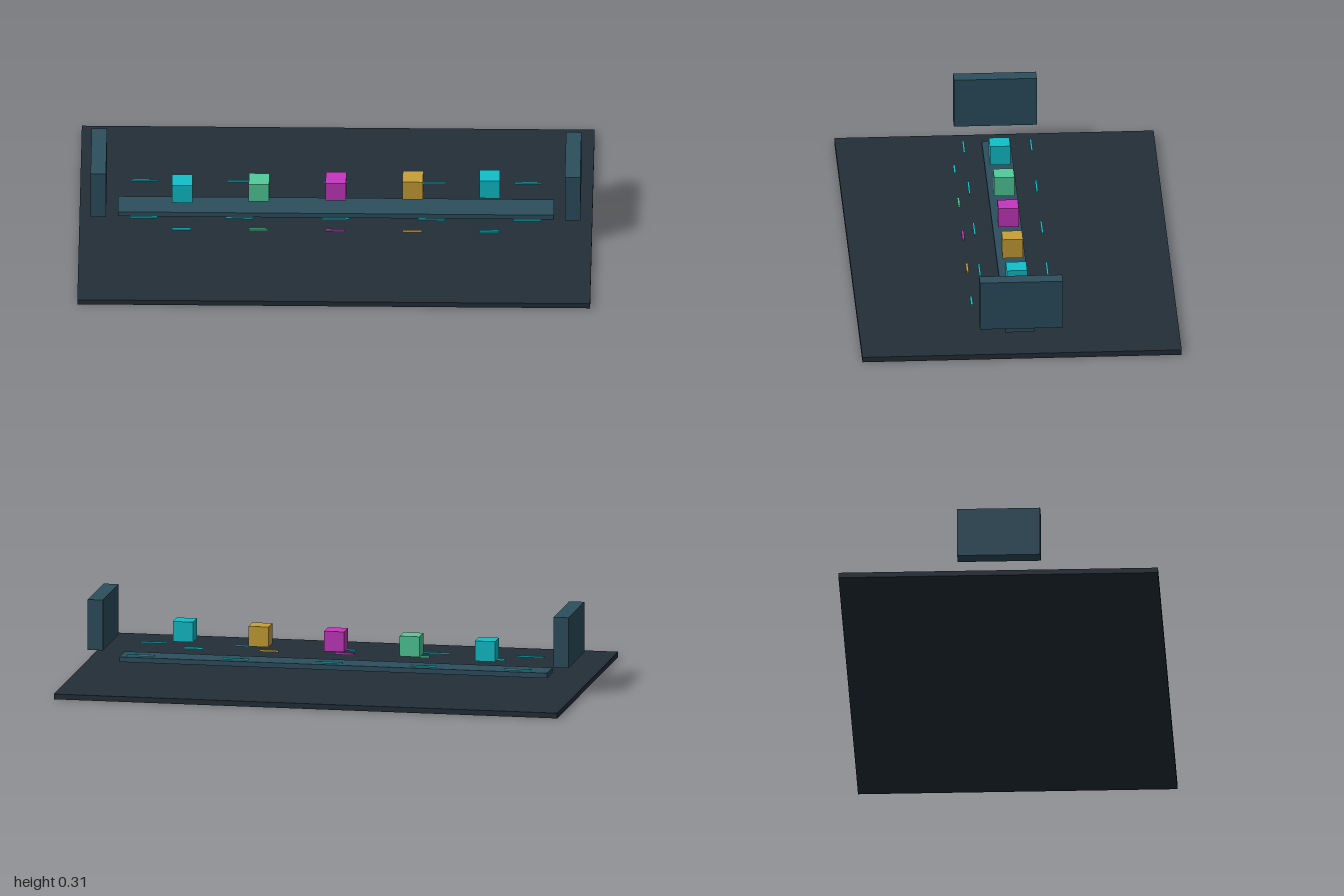
import * as THREE from 'three';

const paint = (name, color) => {
  const m = new THREE.MeshStandardMaterial({ color });
  m.name = name;
  return m;
};

export function createModel() {
  const group = new THREE.Group();
  const floorDark = paint('dark slate', 0x232e38);
  const steel = paint('blue steel', 0x2c4f5e);
  const cyan = paint('cyan', 0x10c0ca);
  const green = paint('mint green', 0x50cb99);
  const magenta = paint('magenta', 0xc437be);
  const gold = paint('gold', 0xc8a036);

  const box = (name, mat, [w, h, d], [x, y, z]) => {
    const mesh = new THREE.Mesh(new THREE.BoxGeometry(w, h, d), mat);
    mesh.name = name;
    mesh.position.set(x, y, z);
    group.add(mesh);
  };

  // Floor slab and the long central track
  box('floor', floorDark, [2, 0.021, 1.247], [0, 0.0105, 0]);
  box('track', steel, [1.7, 0.02, 0.112], [0, 0.053, 0]);

  // End walls
  for (const s of [-1, 1]) box('endWall', steel, [0.06, 0.2, 0.324], [s * 0.925, 0.208, 0]);

  // Floating cubes climbing gently to the left, each with a marker strip in front
  [cyan, green, magenta, gold, cyan].forEach((mat, i) => {
    const x = (i - 2) * 0.3;
    box('cube', mat, [0.08, 0.08, 0.08], [x, 0.137 + i * 0.008, 0]);
    box('markerStrip', mat, [0.075, 0.008, 0.009], [x, 0.063, 0.176]);
  });

  // Dashed guide lights on both sides of the track
  for (const z of [-0.132, 0.132]) {
    for (let i = -2; i <= 2; i++) box('guideLight', cyan, [0.106, 0.006, 0.008], [i * 0.374, 0.088, z]);
  }

  return group;
}
